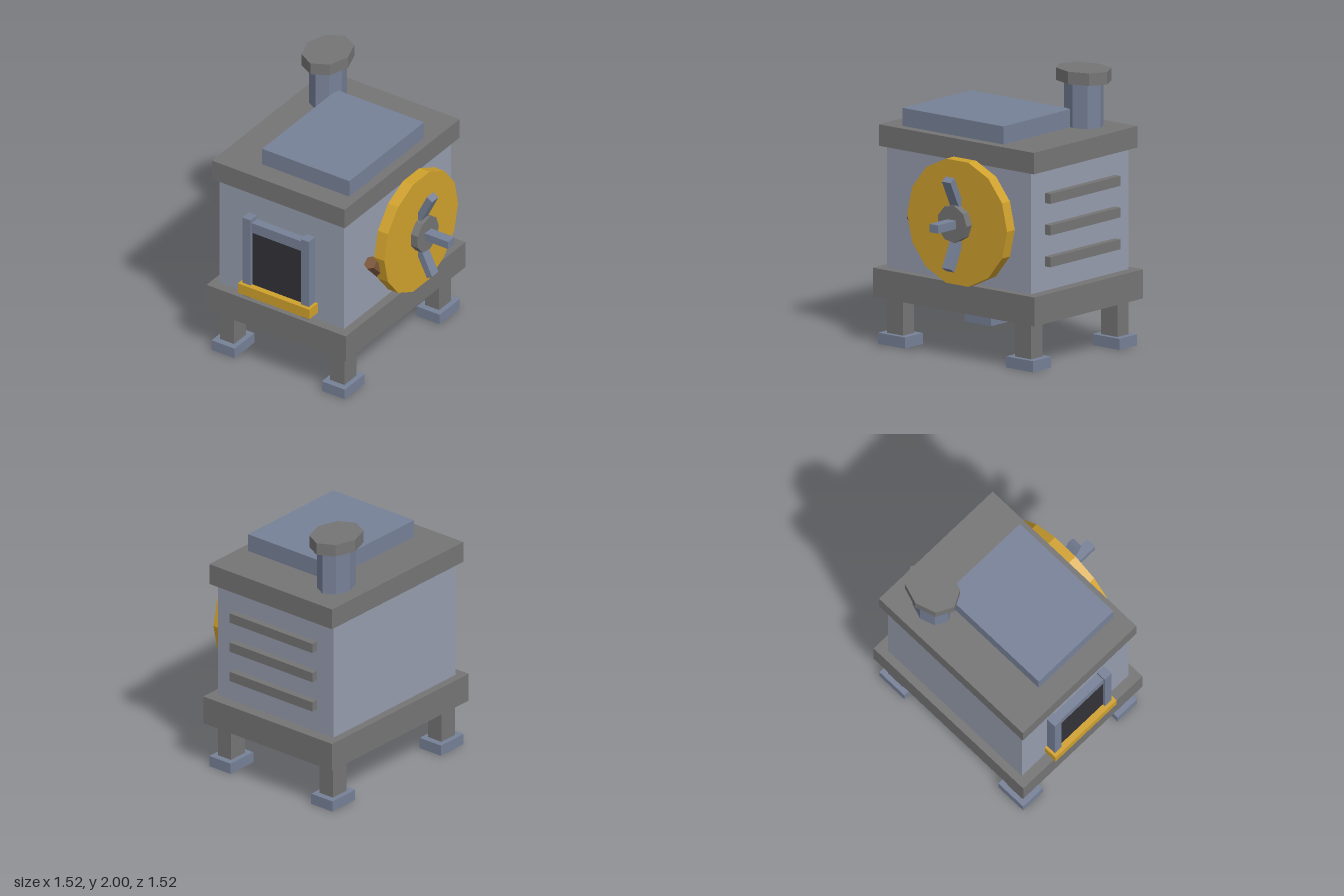
import * as THREE from 'three';

const material = (color) => new THREE.MeshStandardMaterial({ color, flatShading: true });
const panel = material(0x969dae);
const steel = material(0x778197);
const iron = material(0x757575);
const brass = material(0xd0a12d);
const soot = material(0x333238);
const wood = material(0x7d583c);

export function createModel() {
  const model = new THREE.Group();

  const add = (name, geometry, mat, parent = model) => {
    const mesh = new THREE.Mesh(geometry, mat);
    mesh.name = name;
    parent.add(mesh);
    return mesh;
  };

  // Box given by its extents along each axis
  const box = (name, mat, [x0, x1], [y0, y1], [z0, z1]) => {
    const mesh = add(name, new THREE.BoxGeometry(x1 - x0, y1 - y0, z1 - z0), mat);
    mesh.position.set((x0 + x1) / 2, (y0 + y1) / 2, (z0 + z1) / 2);
    return mesh;
  };

  // Cabinet
  box('base', iron, [-0.76, 0.43], [0.34, 0.55], [-0.76, 0.73]);
  box('body', panel, [-0.7, 0.365], [0.55, 1.43], [-0.675, 0.655]);
  box('topSlab', iron, [-0.735, 0.4], [1.43, 1.585], [-0.73, 0.7]);
  box('lid', steel, [-0.415, 0.33], [1.585, 1.715], [-0.39, 0.54]);

  // Four legs with wider feet
  for (const x of [-0.637, 0.305]) {
    for (const z of [-0.602, 0.58]) {
      box('leg', iron, [x - 0.061, x + 0.061], [0.08, 0.33], [z - 0.075, z + 0.075]);
      box('foot', steel, [x - 0.098, x + 0.098], [0, 0.08], [z - 0.124, z + 0.124]);
    }
  }

  // Fire door on the front
  box('fireOpening', soot, [-0.38, 0.05], [0.68, 1.12], [0.64, 0.715]);
  box('lintel', steel, [-0.4, 0.07], [1.12, 1.2], [0.64, 0.72]);
  for (const x of [-0.415, 0.083]) {
    box('doorPost', steel, [x - 0.034, x + 0.034], [0.578, 1.23], [0.64, 0.735]);
  }
  box('ledge', brass, [-0.47, 0.14], [0.605, 0.685], [0.64, 0.762]);

  // Vent bars on the back
  for (const y of [0.762, 0.992, 1.22]) {
    box('ventBar', iron, [-0.55, 0.215], [y - 0.036, y + 0.036], [-0.727, -0.66]);
  }

  // Chimney, oval in plan
  const chimney = new THREE.Group();
  chimney.name = 'chimney';
  chimney.position.set(-0.513, 0, -0.42);
  chimney.scale.z = 1.26;
  model.add(chimney);
  add('pipe', new THREE.CylinderGeometry(0.123, 0.123, 0.35, 8), steel, chimney).position.y = 1.745;
  add('chimneyCap', new THREE.CylinderGeometry(0.172, 0.172, 0.09, 8), iron, chimney).position.y = 1.955;

  // Side wheel with hub, axis along x
  const wheel = new THREE.Group();
  wheel.name = 'wheelAssembly';
  wheel.position.set(0.44, 1.008, -0.107);
  model.add(wheel);
  const disc = (radius, sides, x0, x1, start) =>
    new THREE.CylinderGeometry(radius, radius, x1 - x0, sides, 1, false, start)
      .rotateZ(Math.PI / 2).translate((x0 + x1) / 2, 0, 0);
  add('wheel', disc(0.46, 14, -0.026, 0.06, 0), brass, wheel);
  add('hub', disc(0.136, 9, -0.12, 0.118, Math.PI), iron, wheel);

  // Three handle bars crossing at the hub, stretched in y and z
  const handles = new THREE.Group();
  handles.name = 'handles';
  handles.scale.set(1, 1.19, 1.26);
  wheel.add(handles);
  for (const turn of [-1, 0, 1]) {
    const bar = add('handleBar', new THREE.BoxGeometry(0.634, 0.05, 0.063), steel, handles);
    bar.rotation.z = turn * Math.PI / 3;
  }

  // Log leaning between the cabinet and the wheel
  const log = add('log', new THREE.CylinderGeometry(0.05, 0.05, 0.56, 6), wood);
  log.position.set(0.402, 0.772, 0.196);
  log.rotation.x = 0.75;

  return model;
}
